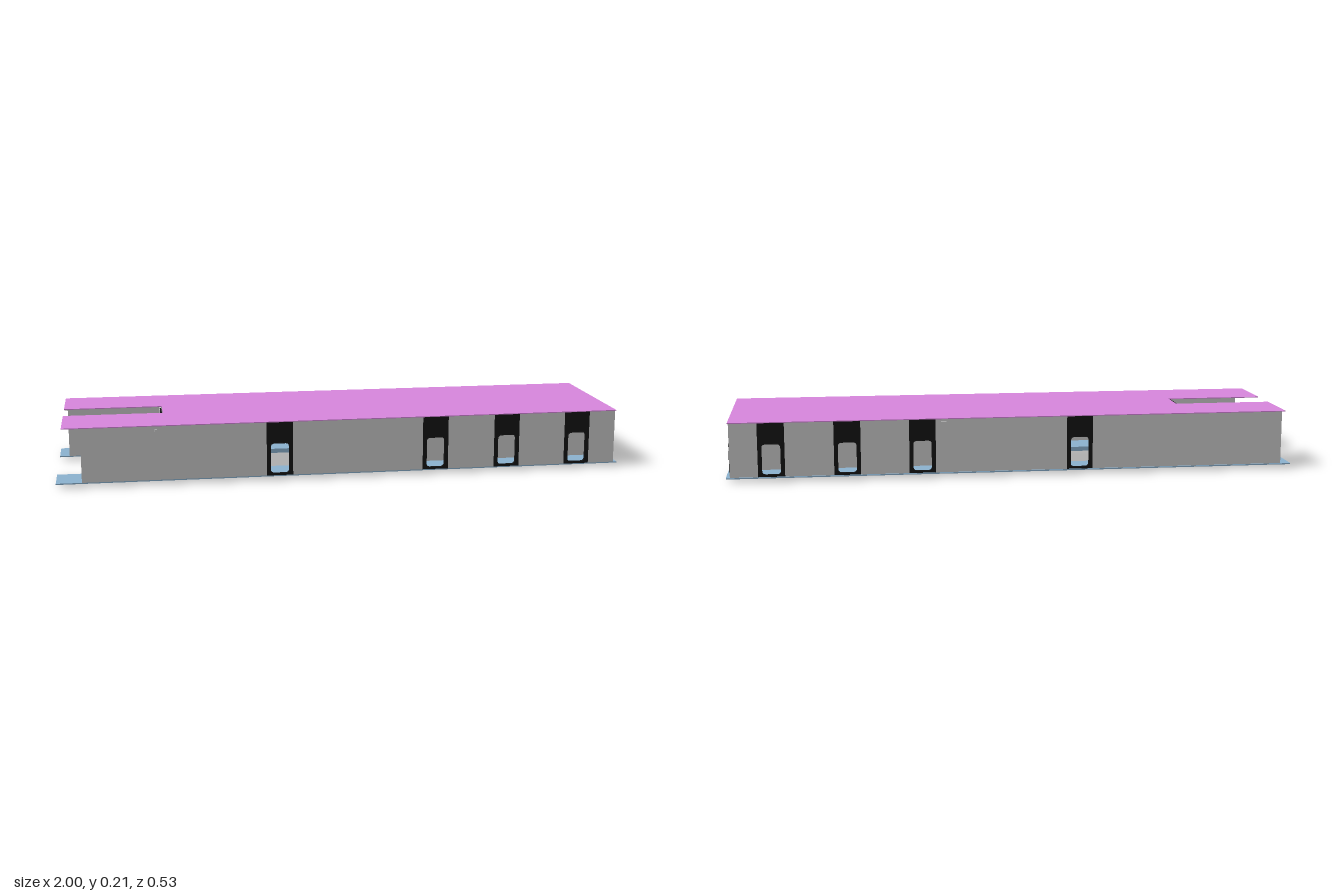
import * as THREE from 'three';

const mat = (color) => new THREE.MeshStandardMaterial({ color, side: THREE.DoubleSide });
const BASE = 0.016, TOP = 0.205, T = 0.004, DOOR_W = 0.092;

export function createModel() {
  const model = new THREE.Group();
  model.name = 'moduleDeck';
  const grey = mat(0xcccccc), black = mat(0x141414), pink = mat(0xda88e0), blue = mat(0x8db4d2);

  const add = (parent, name, geometry, material, x = 0, y = 0, z = 0) => {
    const mesh = new THREE.Mesh(geometry, material);
    mesh.name = name;
    mesh.position.set(x, y, z);
    parent.add(mesh);
    return mesh;
  };

  // rounded rectangle path for the door openings
  const roundRect = (PathType, w, y0, y1, r) => {
    const p = new PathType(), h = w / 2;
    p.moveTo(-h + r, y0);
    p.lineTo(h - r, y0);
    p.quadraticCurveTo(h, y0, h, y0 + r);
    p.lineTo(h, y1 - r);
    p.quadraticCurveTo(h, y1, h - r, y1);
    p.lineTo(-h + r, y1);
    p.quadraticCurveTo(-h, y1, -h, y1 - r);
    p.lineTo(-h, y0 + r);
    p.quadraticCurveTo(-h, y0, -h + r, y0);
    return p;
  };
  const extrude = (shape, depth) =>
    new THREE.ExtrudeGeometry(shape, { depth, bevelEnabled: false, curveSegments: 6 });

  // door panel with an opening, and the liner around the opening
  const panel = new THREE.Shape([[-1, BASE], [1, BASE], [1, TOP], [-1, TOP]]
    .map(([s, y]) => new THREE.Vector2(s * DOOR_W / 2, y)));
  panel.holes.push(roundRect(THREE.Path, 0.066, 0.023, 0.131, 0.014));
  const panelGeo = extrude(panel, T + 0.001).translate(0, 0, -T / 2 - 0.0005);
  const liner = roundRect(THREE.Shape, 0.068, 0.022, 0.132, 0.014);
  liner.holes.push(roundRect(THREE.Path, 0.064, 0.024, 0.13, 0.013));
  const linerGeo = extrude(liner, 0.01).translate(0, 0, -0.005);

  // wall from one plan point to another; doors are distances along it
  const wall = (name, [x0, z0], [x1, z1], doors = []) => {
    const g = new THREE.Group();
    g.name = name;
    g.position.set(x0, 0, z0);
    g.rotation.y = Math.atan2(z0 - z1, x1 - x0);
    const length = Math.hypot(x1 - x0, z1 - z0);
    let start = 0;
    for (const d of [...doors, length + DOOR_W / 2]) {
      const end = d - DOOR_W / 2;
      add(g, 'wallPanel', new THREE.BoxGeometry(end - start, TOP - BASE, T), grey,
        (start + end) / 2, (TOP + BASE) / 2, 0);
      if (d < length) {
        add(g, 'doorPanel', panelGeo, black, d);
        add(g, 'doorLiner', linerGeo, black, d);
      }
      start = d + DOOR_W / 2;
    }
    model.add(g);
  };

  // long side walls, wing walls and end walls, mirrored front to back
  const doorX = [-0.23, 0.325, 0.585, 0.845];
  for (const s of [1, -1]) {
    const side = s > 0 ? 'front' : 'back';
    const endX = s > 0 ? -0.91 : -0.963;
    wall(side + 'Wall', [endX, s * 0.257], [0.985, s * 0.257], doorX.map((x) => x - endX));
    wall(side + 'WingInnerWall', [0.2, s * 0.14], [0.985, s * 0.14]);
    wall(side + 'WingEndWall', [0.985, s * 0.14], [0.985, s * 0.257], [0.06]);
    wall(side + 'NotchSideWall', [endX, s * 0.14], [-0.63, s * 0.14]);
    wall(side + 'NotchEndWall', [endX, s * 0.14], [endX, s * 0.257]);
  }
  // cross walls at the inner ends of both notches
  for (const x of [0.2, -0.63]) wall('crossWall', [x, -0.14], [x, 0.14], [0.14]);

  // horizontal plates, outlined as [x, z]
  const outline = (pts) => pts.map(([x, z]) => new THREE.Vector2(x, -z));
  const plate = (name, pts, hole, y0, y1, material) => {
    const shape = new THREE.Shape(outline(pts));
    if (hole) shape.holes.push(new THREE.Path(outline(hole)));
    add(model, name, extrude(shape, y1 - y0).rotateX(-Math.PI / 2), material, 0, y0, 0);
  };
  const rect = (x0, x1, z0, z1) => [[x0, z0], [x1, z0], [x1, z1], [x0, z1]];

  plate('roof', [[-0.975, -0.265], [0.99, -0.265], [0.99, 0.26], [-0.975, 0.26],
    [-0.975, 0.052], [-0.625, 0.052], [-0.625, -0.065], [-0.975, -0.065]],
  null, TOP, TOP + 0.003, pink);

  const opening = rect(-0.467, 0.102, -0.132, 0.127);
  plate('floor', [[-1, -0.265], [1, -0.265], [1, -0.14], [0.2, -0.14], [0.2, 0.132], [1, 0.132],
    [1, 0.258], [-1, 0.258], [-1, 0.132], [-0.63, 0.132], [-0.63, -0.14], [-1, -0.14]],
  opening, 0.012, BASE, blue);
  plate('floorOpeningRim', rect(-0.475, 0.11, -0.14, 0.135), opening, 0, 0.012, blue);

  // small wall boxes: [x, y, z]
  for (const [x, y, z] of [[-0.65, 0.188, 0.26], [0.25, 0.188, -0.262], [0.38, 0.188, 0.137],
    [-0.967, 0.195, -0.15]]) {
    add(model, 'wallBox', new THREE.BoxGeometry(0.02, 0.016, 0.008), grey, x, y, z);
  }

  // ceiling ducts: [start x, end x, z]
  for (const [x0, x1, z] of [[-0.42, -0.05, 0.19], [-0.6, -0.32, 0.22]]) {
    add(model, 'ceilingDuct', new THREE.BoxGeometry(x1 - x0, 0.012, 0.02), grey,
      (x0 + x1) / 2, TOP - 0.008, z);
  }
  return model;
}
